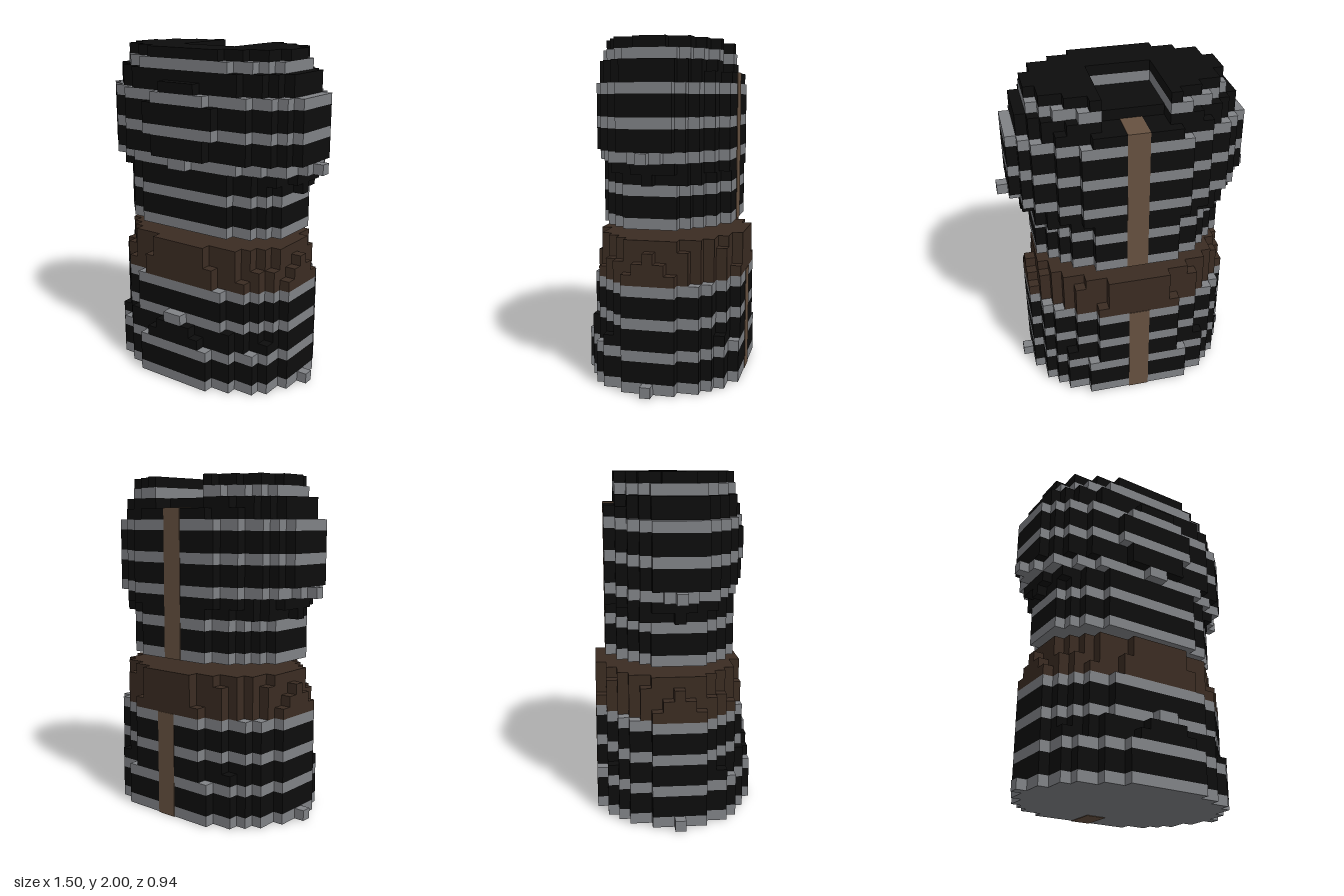
import * as THREE from 'three';

const V = 0.0625; // edge of one block

const mat = (name, color) => {
  const m = new THREE.MeshStandardMaterial({ color });
  m.name = name;
  return m;
};

// Radii of the oval body in blocks, as [layer, radius] keys
const WIDTH = [[0, 10.2], [9, 10.2], [10, 10], [12, 9.55], [13, 9.2], [18, 9.3], [19, 9.6],
  [20, 10], [21, 11], [22, 11.2], [27, 11.2], [28, 10.4], [29, 10.4], [30, 9.4], [31, 9.1]];
const FRONT = [[0, 7.58], [3, 7.48], [6, 7.04], [9, 6.7], [13, 6.33], [15, 5.98], [20, 5.98],
  [21, 6.04], [22, 6.22], [25, 6.5], [27, 6.26], [28, 6.12], [29, 5.95], [30, 5.9], [31, 5.55]];
const BACK = [[0, 7.98], [9, 7.55], [13, 7.4], [15, 6.7], [18, 6.7], [20, 6.85], [21, 6.7],
  [27, 6.7], [28, 6.5], [29, 5.95], [30, 5.9], [31, 5.55]];

// Straight-line value between keys
function at(keys, layer) {
  const i = Math.max(1, keys.findIndex(([l]) => l >= layer));
  const [l0, v0] = keys[i - 1];
  const [l1, v1] = keys[i];
  return v0 + (v1 - v0) * (layer - l0) / (l1 - l0);
}

// One layer of blocks: an oval rounded to whole blocks, with an optional
// single block on each side and an optional slot cut in from the back
function slab(layer, sideNub, slotEnd) {
  const right = [];
  for (let row = -7; row <= 7; row++) {
    const depth = at(row < 0 ? BACK : FRONT, layer);
    let w = Math.round(at(WIDTH, layer) * Math.sqrt(Math.max(0, 1 - (row / depth) ** 2)));
    if (sideNub && row === 0) w += 1;
    if (w > 0) right.push([w, row - 0.5], [w, row + 0.5]);
  }
  if (slotEnd !== undefined) right.unshift([3, slotEnd], [3, right[0][1]]);
  const left = right.map(([x, z]) => [-x, z]).reverse();
  const points = [...right, ...left].map(([x, z]) => new THREE.Vector2(x * V, -z * V));
  const g = new THREE.ExtrudeGeometry(new THREE.Shape(points), { depth: V, bevelEnabled: false });
  return g.rotateX(-Math.PI / 2).translate(0, layer * V, 0);
}

export function createModel() {
  const model = new THREE.Group();
  model.name = 'stripedTorso';
  const black = mat('black', 0x0d0d0d);
  const gray = mat('gray', 0x808286);
  const brown = mat('dark brown', 0x3b2c22);
  const tan = mat('tan brown', 0x665140);

  const add = (name, geometry, material) => {
    const mesh = new THREE.Mesh(geometry, material);
    mesh.name = name;
    model.add(mesh);
  };

  // Striped body: every third layer is gray, the belt is brown, a gap lies above it
  const slots = { 29: -3.5, 30: 1.5, 31: 1.5 };
  for (let layer = 0; layer < 32; layer++) {
    if (layer === 14) continue;
    const isBelt = layer >= 10 && layer <= 13;
    const isStripe = layer % 3 === 0;
    const name = isBelt ? 'belt' : (layer < 14 ? 'lower' : 'upper') + (isStripe ? 'Stripe' : 'Band');
    const sideNub = layer === 0 || layer === 21;
    add(name, slab(layer, sideNub, slots[layer]), isBelt ? brown : isStripe ? gray : black);
  }

  // Strap down the back, folded over the top and under the bottom
  const strap = (name, y0, y1, z0, z1) => {
    const g = new THREE.BoxGeometry(2 * V, y1 - y0, z1 - z0);
    add(name, g.translate(0, (y0 + y1) / 2, (z0 + z1) / 2), tan);
  };
  const t = 0.003;
  const zLow = -7.5 * V;
  const zUp = -6.5 * V;
  strap('lowerStrap', 0, 10 * V, zLow - t, zLow + t);
  strap('strapUnderside', -t, t, zLow - t, zLow + 3 * V);
  strap('upperStrap', 15 * V, 29 * V, zUp - t, zUp + t);
  strap('strapTop', 29 * V - t, 29 * V + t, zUp - t, zUp + 3 * V);
  return model;
}
